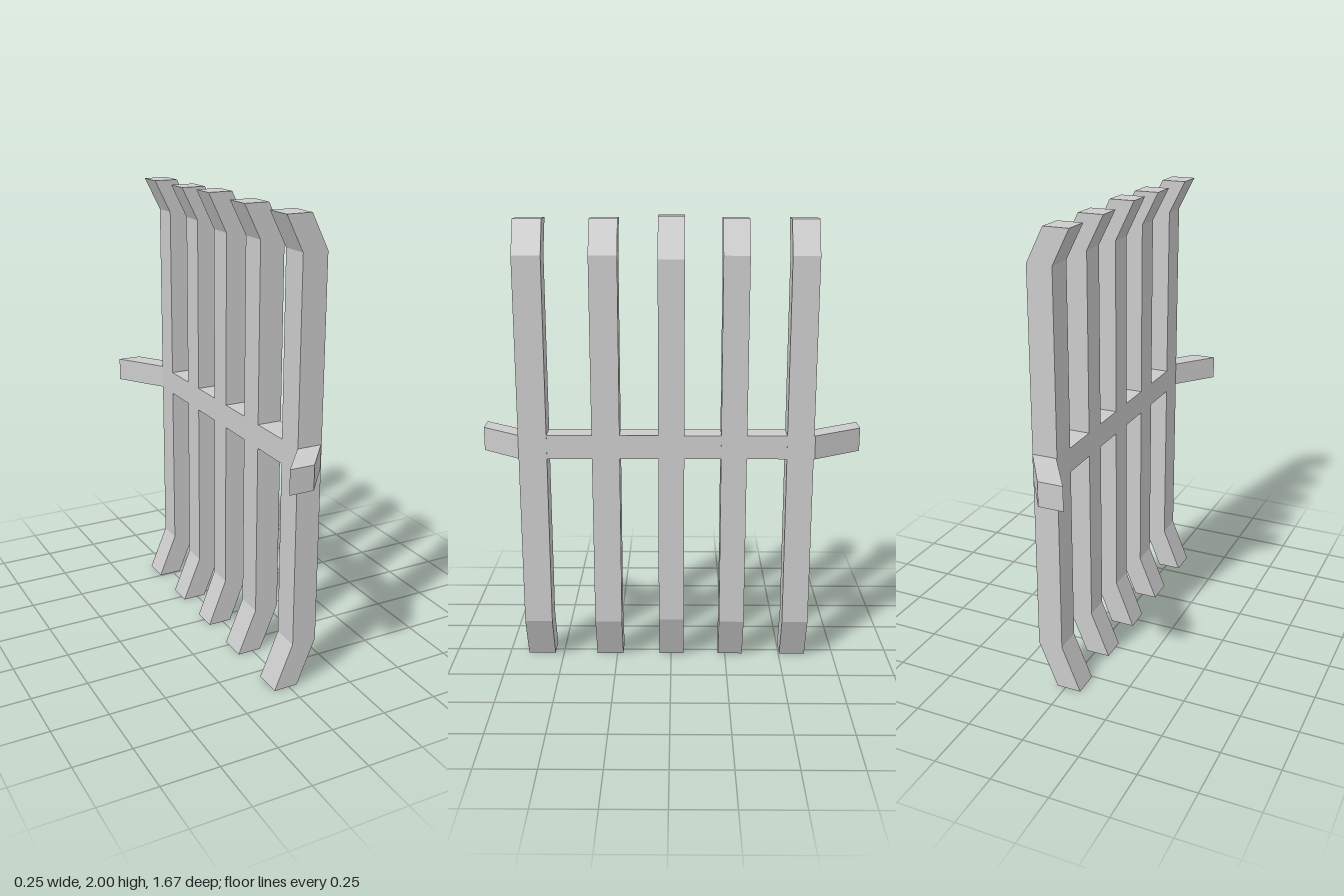
import * as THREE from 'three';

const material = new THREE.MeshStandardMaterial({ color: 0xcccccc, flatShading: true });

// Extrudes a closed outline along +z.
function extrude(points, depth) {
  const shape = new THREE.Shape(points.map(([a, b]) => new THREE.Vector2(a, b)));
  return new THREE.ExtrudeGeometry(shape, { depth, bevelEnabled: false });
}

// Outline of a bar with both ends bent towards -x, as [x, height].
function barOutline(top, bendLow, bendHigh, topShift) {
  const inner = 0.013, outer = 0.122;
  return [
    [-0.07, 0], [0.038, 0],
    [outer, bendLow], [outer, bendHigh],
    [outer + topShift, top], [inner + topShift, top],
    [inner, bendHigh], [inner, bendLow],
  ];
}

export function createModel() {
  const model = new THREE.Group();
  model.name = 'barredGrate';

  // Upright bars: z range, the middle one slightly taller
  const bars = [[-0.62, -0.504], [-0.33, -0.218], [-0.058, 0.055], [0.223, 0.344], [0.54, 0.663]];
  bars.forEach(([back, front], i) => {
    const outline = i === 2
      ? barOutline(2, 0.21, 1.83, -0.083)
      : barOutline(1.99, 0.2, 1.845, -0.073);
    const bar = new THREE.Mesh(extrude(outline, front - back), material);
    bar.position.z = back;
    bar.name = `uprightBar${i + 1}`;
    model.add(bar);
  });

  // Crossbar: plan outline as [x, z], ends bent towards -x
  const plan = [
    [-0.126, -0.84], [-0.018, -0.84], [0.12, -0.625], [0.12, 0.662],
    [-0.018, 0.835], [-0.126, 0.835], [0.013, 0.66], [0.013, -0.625],
  ];
  const crossbar = new THREE.Mesh(extrude(plan, 0.105).rotateX(Math.PI / 2), material);
  crossbar.position.y = 1.075;
  crossbar.name = 'crossbar';
  model.add(crossbar);

  return model;
}
